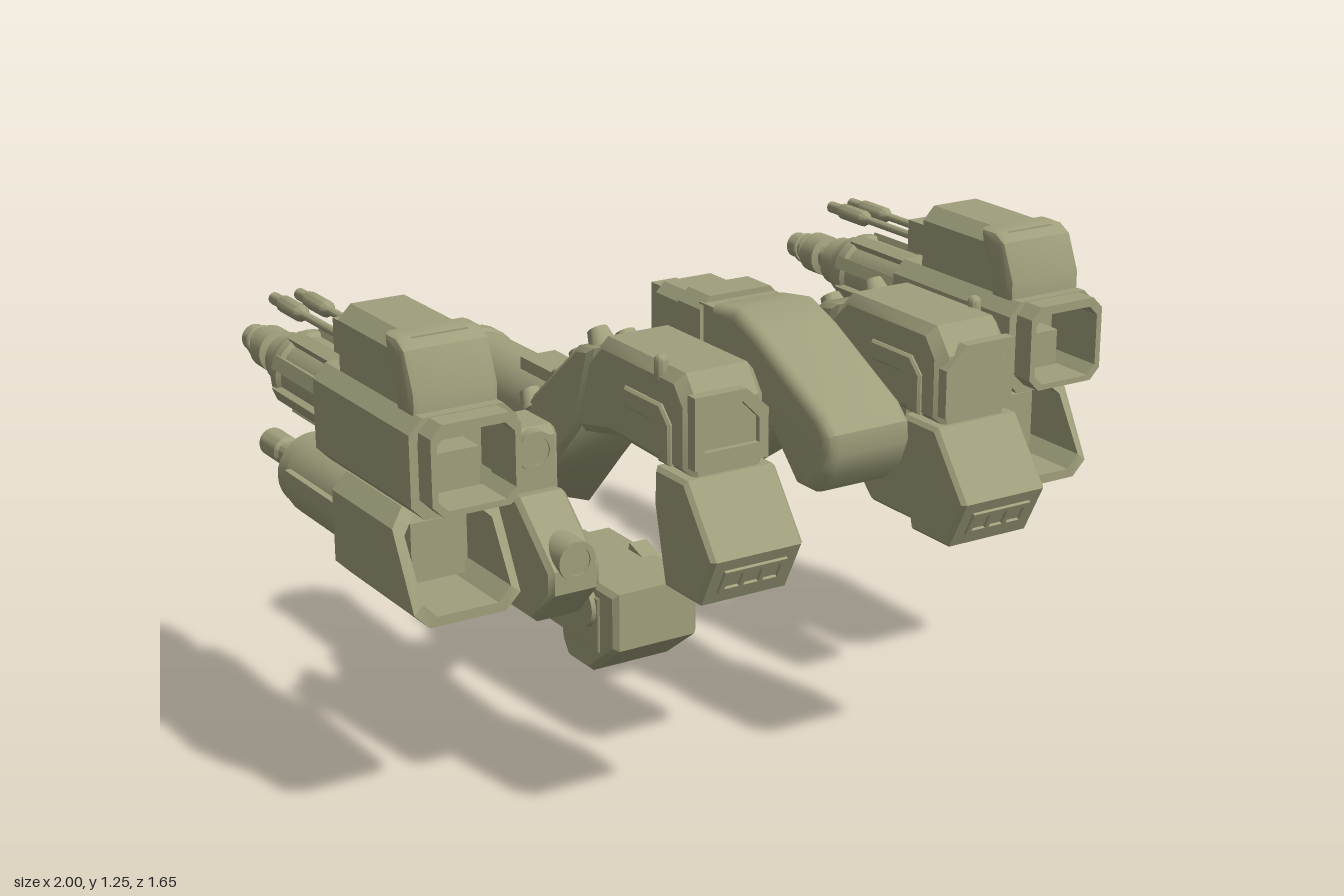
import * as THREE from 'three';
import { toCreasedNormals } from 'three/addons/utils/BufferGeometryUtils.js';

const olive = new THREE.MeshStandardMaterial({ color: 0xa09f7c });
olive.name = 'olive armour';

function add(group, name, geometry, x = 0, y = 0, z = 0) {
  const mesh = new THREE.Mesh(toCreasedNormals(geometry, 0.6), olive);
  mesh.name = name;
  mesh.position.set(x, y, z);
  group.add(mesh);
  return mesh;
}

const toShape = (pts) => new THREE.Shape(pts.map(([a, b]) => new THREE.Vector2(a, b)));

function extrude(shape, length, bevel, segments = 1) {
  const g = new THREE.ExtrudeGeometry(shape, {
    depth: length - 2 * bevel, bevelEnabled: bevel > 0, bevelSize: bevel,
    bevelThickness: bevel, bevelOffset: -bevel, bevelSegments: segments,
  });
  return g.translate(0, 0, bevel);
}

// Side profile of [z, y] points, given a width along x
function profile(pts, width, bevel = 0.012, segments = 1) {
  return extrude(toShape(pts), width, bevel, segments).translate(0, 0, -width / 2).rotateY(-Math.PI / 2);
}

// Chamfered front section running from z0 to z1, with an optional opening
const octagon = (w, y0, y1, c) => [
  [-w + c, y0], [w - c, y0], [w, y0 + c], [w, y1 - c], [w - c, y1], [-w + c, y1], [-w, y1 - c], [-w, y0 + c],
];
function section(pts, z0, z1, hole, bevel = 0) {
  const shape = toShape(pts);
  if (hole) shape.holes.push(toShape(hole));
  return extrude(shape, z1 - z0, bevel).translate(0, 0, z0);
}

// Turned part of [radius, distance to the rear] points
const turned = (pts, sides = 28) =>
  new THREE.LatheGeometry(pts.map(([r, d]) => new THREE.Vector2(r, d)), sides).rotateX(-Math.PI / 2);

const box = (w, h, d) => new THREE.BoxGeometry(w, h, d);

function buildWeapon() {
  const g = new THREE.Group();
  // Upper housing, open at the front
  add(g, 'upperHousing', section(octagon(0.14, 0.85, 1.095, 0.035), -0.14, 0.36,
    octagon(0.118, 0.872, 1.073, 0.03)));
  add(g, 'upperHousingLip', section(octagon(0.116, 0.87, 1.093, 0.03), 0.3, 0.42,
    octagon(0.1, 0.885, 1.07, 0.025)));
  add(g, 'upperHousingCore', section(octagon(0.119, 0.87, 1.075, 0.03), -0.13, 0.22));
  add(g, 'upperHousingBlock', box(0.14, 0.1, 0.1), 0, 0.93, 0.25);

  // Magazine box with a bulging front cap
  add(g, 'topBox', section(octagon(0.105, 1.03, 1.255, 0.035), -0.06, 0.26));
  add(g, 'topBoxCap', profile([[0.33, 1.08], [0.33, 1.14], [0.29, 1.235], [0.25, 1.257], [0.19, 1.257],
    [0.2, 1.2], [0.24, 1.16], [0.24, 1.08]], 0.225, 0.018, 2));
  add(g, 'gunMount', box(0.12, 0.085, 0.13), 0, 1.145, -0.12);
  for (const x of [-0.035, 0.035]) {
    add(g, 'thinBarrel', turned([[0, 0.1], [0.011, 0.1], [0.011, 0.4], [0.022, 0.42], [0.022, 0.52],
      [0.016, 0.53], [0.016, 0.58], [0, 0.58]], 12), x, 1.135);
  }

  // Upper cannon
  add(g, 'upperCannon', turned([[0.11, 0.1], [0.11, 0.2], [0.095, 0.21], [0.095, 0.43], [0.105, 0.44],
    [0.105, 0.47], [0.09, 0.49], [0.085, 0.52], [0.072, 0.53], [0.068, 0.585], [0.038, 0.6], [0.038, 0.64],
    [0.057, 0.645], [0.057, 0.705], [0.036, 0.715], [0.036, 0.8], [0.02, 0.8], [0.02, 0.75], [0, 0.75]]), 0, 0.97);
  for (let i = 0; i < 8; i++) {
    const rib = add(g, 'cannonRib', box(0.035, 0.022, 0.27).translate(0, 0.1, -0.32), 0, 0.97);
    rib.rotation.z = (i + 0.5) * Math.PI / 4;
  }
  for (const z of [-0.73, -0.755]) {
    add(g, 'muzzleRing', new THREE.TorusGeometry(0.037, 0.007, 6, 20), 0, 0.97, z);
  }

  // Lower pod with a raked, open front
  const pod = section(octagon(0.14, 0.58, 0.842, 0.04), -0.06, 0.3, octagon(0.115, 0.605, 0.82, 0.035));
  const p = pod.attributes.position;
  for (let i = 0; i < p.count; i++) {
    if (p.getZ(i) > 0.1) p.setZ(i, THREE.MathUtils.mapLinear(Math.max(p.getY(i), 0.66), 0.66, 0.842, 0.355, 0.23));
  }
  pod.computeVertexNormals();
  add(g, 'lowerPod', pod);
  add(g, 'lowerPodCore', section(octagon(0.117, 0.602, 0.822, 0.035), -0.05, 0.14));
  add(g, 'lowerPodBlock', box(0.14, 0.15, 0.08), 0, 0.71, 0.17);
  add(g, 'podLink', box(0.14, 0.06, 0.26), 0, 0.845, 0.08);
  add(g, 'lowerCannon', turned([[0.108, 0.03], [0.108, 0.41], [0.1, 0.42], [0.1, 0.47], [0.083, 0.47],
    [0.083, 0.42], [0.03, 0.42], [0.03, 0.62], [0.038, 0.63], [0.038, 0.72], [0.018, 0.72], [0.018, 0.68],
    [0, 0.68]]), 0, 0.705);
  for (const side of [-1, 1]) add(g, 'lowerCannonRail', box(0.02, 0.035, 0.3), side * 0.106, 0.73, -0.24);
  return g;
}

function buildArm(out) {
  const g = new THREE.Group();
  // Beam and raked rear plate, the plate's tip dropping toward the inside
  add(g, 'beam', profile([[0.69, 0.94], [0.69, 1.12], [0.64, 1.185], [0.3, 1.185], [0.1, 1.0], [0.1, 0.9],
    [0.35, 0.95]], 0.215, 0.025));
  const plate = profile([[0.27, 1.15], [0.2, 1.14], [-0.09, 0.9], [-0.29, 0.62], [-0.24, 0.575], [-0.12, 0.6],
    [0.05, 0.78], [0.2, 0.93]], 0.235, 0.014);
  const p = plate.attributes.position;
  for (let i = 0; i < p.count; i++) {
    if (p.getY(i) < 0.68) p.setY(i, p.getY(i) + 0.04 + 0.35 * out * p.getX(i));
  }
  plate.computeVertexNormals();
  add(g, 'rearPlate', plate);

  // Raised frame round the front window
  const frame = toShape([[-0.1, 0.97], [0.1, 0.97], [0.1, 1.09], [0.04, 1.145], [-0.1, 1.145]]
    .map(([x, y]) => [x * -out * -1 * -1, y]));
  frame.holes.push(toShape([[-0.075, 1.01], [0.075, 1.01], [0.075, 1.07], [0.03, 1.115], [-0.06, 1.115], [-0.075, 1.1]]
    .map(([x, y]) => [x * -out, y])));
  add(g, 'windowFrame', extrude(frame, 0.03, 0), 0, 0, 0.675);
  add(g, 'sideRail', profile([[0.62, 0.96], [0.62, 1.06], [0.58, 1.1], [0.42, 1.1], [0.42, 1.05], [0.54, 1.05],
    [0.57, 1.02], [0.57, 0.96]], 0.235, 0.006));
  add(g, 'topKnob', new THREE.CapsuleGeometry(0.017, 0.04, 4, 10), out * 0.095, 1.175, 0.555);

  // Front hand block with three square ports
  add(g, 'handBlock', profile([[0.70, 0.95], [0.57, 0.95], [0.565, 0.86], [0.61, 0.665], [0.755, 0.665],
    [0.82, 0.79]], 0.25, 0.01));
  const ports = toShape([[-0.085, -0.035], [0.085, -0.035], [0.085, 0.035], [-0.085, 0.035]]);
  for (const x of [-0.052, 0, 0.052]) {
    ports.holes.push(toShape([[x - 0.02, -0.022], [x + 0.02, -0.022], [x + 0.02, 0.022], [x - 0.02, 0.022]]));
  }
  add(g, 'portFrame', extrude(ports, 0.009, 0), 0, 0.73, 0.787).rotation.x = 0.48;

  // Rear tube, hollow at its end
  add(g, 'rearTube', turned([[0.1, -0.05], [0.1, 0.48], [0.107, 0.49], [0.107, 0.525], [0.095, 0.54], [0.07, 0.54],
    [0.065, 0.47], [0.04, 0.47], [0.035, 0.5], [0, 0.5]]), 0, 0.882);
  add(g, 'tubeBlock', box(0.1, 0.05, 0.2), 0, 0.975, -0.09);

  // Round studs on the rear plate
  const studs = [[-0.05, 0.06], [0.05, 0.03], [-0.05, 0.17], [0.05, 0.12], [0.05, 0.21], [-0.095, -0.03], [0.095, -0.05]];
  for (const [x, z] of studs) {
    const stud = add(g, 'stud', new THREE.CylinderGeometry(0.026, 0.037, 0.05, 16), out * x, 1.0 + 0.83 * (z - 0.03), z);
    stud.rotation.x = -0.69;
  }
  return g;
}

function buildSidePod() {
  const g = new THREE.Group();
  add(g, 'lowerBlock', profile([[0.4, 0.6], [0.31, 0.505], [0.05, 0.505], [-0.03, 0.58], [-0.03, 0.68], [0.05, 0.78],
    [0.24, 0.8], [0.4, 0.66]], 0.138));
  add(g, 'upperBlock', profile([[0.21, 0.7], [0.21, 0.93], [0.19, 0.952], [0.07, 0.952], [0.04, 0.9], [0.02, 0.7]], 0.138));
  for (const [y, z] of [[0.9, 0.205], [0.68, 0.39]]) {
    add(g, 'roundPort', turned([[0, -0.015], [0.035, -0.015], [0.035, -0.02], [0.05, -0.02], [0.05, 0.1]]
      .reverse().map(([r, d]) => [r, -d]), 20).rotateY(Math.PI), 0, y, z);
  }
  add(g, 'rearNozzle', turned([[0.05, -0.1], [0.05, -0.04], [0.028, 0.03], [0.022, 0.05], [0, 0.05]], 16), 0, 0.87, 0);
  return g;
}

function buildHood() {
  const g = new THREE.Group();
  add(g, 'hood', profile([[0.25, 1.2], [0.36, 1.217], [0.46, 1.18], [0.6, 1.11], [0.72, 1.05], [0.76, 1.01],
    [0.765, 0.96], [0.74, 0.9], [0.69, 0.85], [0.62, 0.85], [0.52, 0.95], [0.25, 0.96]], 0.24, 0.03, 4), -0.008);
  add(g, 'hoodNeck', box(0.21, 0.22, 0.08), -0.005, 1.08, 0.22);
  add(g, 'hoodCollar', section(octagon(0.118, 0.95, 1.205, 0.03), 0.1, 0.2), -0.002);
  add(g, 'hoodRear', section(octagon(0.094, 0.97, 1.18, 0.025), -0.06, 0.12, null, 0.012), 0.002);
  add(g, 'hoodTail', box(0.075, 0.13, 0.13), 0.004, 1.08, -0.1);
  return g;
}

function buildRearUnit() {
  const g = new THREE.Group();
  add(g, 'rearUnitBody', profile([[-0.22, 0.275], [-0.67, 0.275], [-0.67, 0.14], [-0.53, 0.14], [-0.51, 0.05],
    [-0.48, 0.005], [-0.36, 0.005], [-0.22, 0.11]], 0.265, 0.014));
  add(g, 'rearUnitTail', profile([[-0.6, 0.25], [-0.75, 0.25], [-0.76, 0.06], [-0.74, 0.045], [-0.5, 0.045], [-0.5, 0.2]], 0.195));
  add(g, 'rearUnitPlug', box(0.075, 0.14, 0.14), 0, 0.18, -0.755);
  for (const side of [-1, 1]) {
    const disc = new THREE.CylinderGeometry(0.058, 0.072, 0.05, 24).rotateZ(-side * Math.PI / 2);
    add(g, 'sideDisc', disc, side * 0.125, 0.2, -0.37);
    add(g, 'sidePanel', profile([[-0.3, 0.08], [-0.46, 0.08], [-0.5, 0.13], [-0.5, 0.24], [-0.3, 0.24]], 0.02, 0.004),
      side * 0.128);
    add(g, 'topTab', box(0.055, 0.025, 0.11), side * 0.105, 0.268, -0.44).rotation.x = 0.3;
  }
  return g;
}

export function createModel() {
  const model = new THREE.Group();
  const place = (name, part, x, z = 0) => {
    part.name = name;
    part.position.set(x, 0, z);
    model.add(part);
  };
  for (const s of [1, -1]) {
    const side = s > 0 ? 'left' : 'right';
    place(side + 'Weapon', buildWeapon(), s * 0.86);
    place(side + 'Arm', buildArm(s), s > 0 ? 0.348 : -0.354, s * 0.005);
    place(side + 'SidePod', buildSidePod(), s * 0.587, s > 0 ? 0 : -0.015);
  }
  place('centreHood', buildHood(), 0);
  place('rearUnit', buildRearUnit(), 0.0125);
  return model;
}
